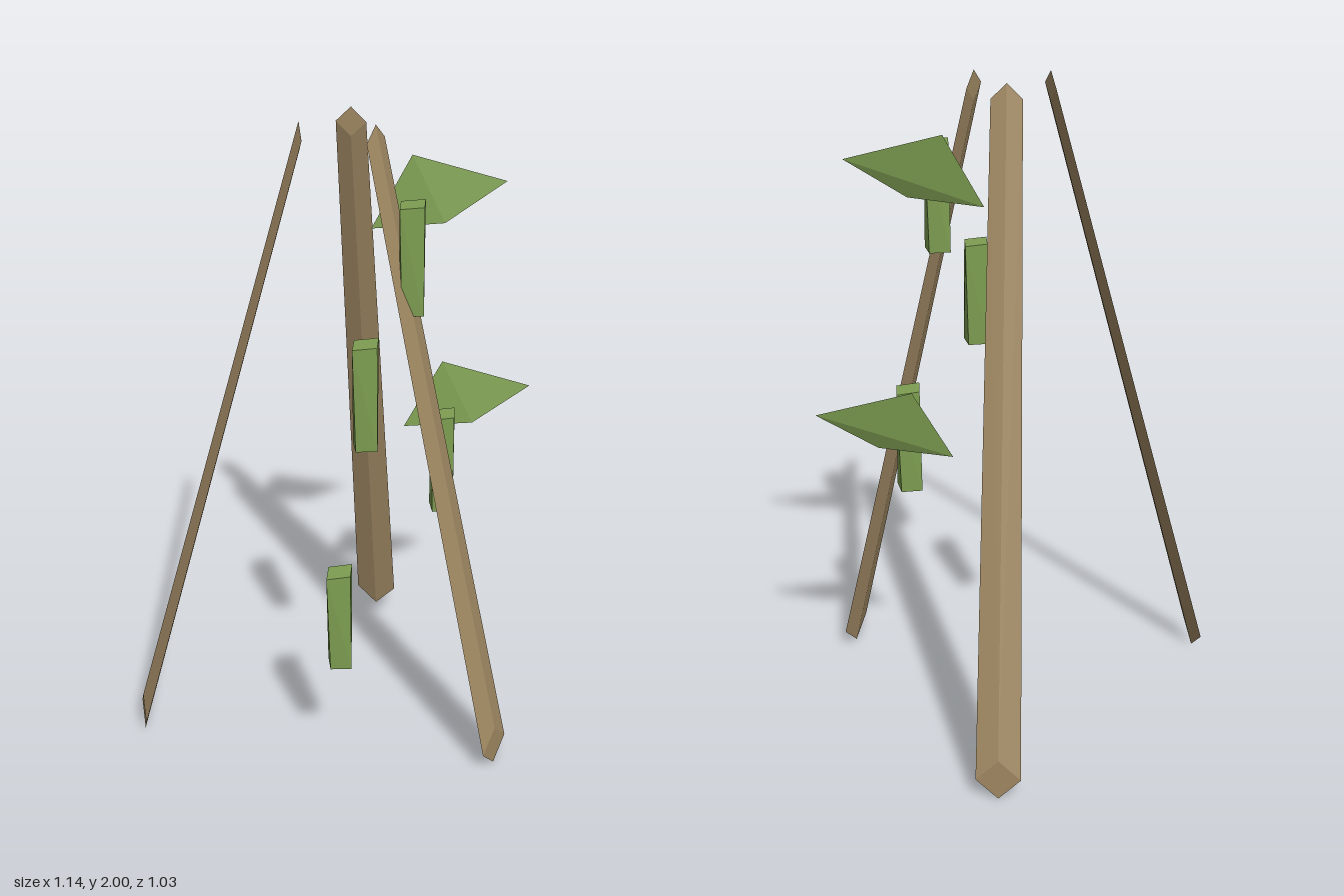
import * as THREE from 'three';
import { ConvexGeometry } from 'three/addons/geometries/ConvexGeometry.js';

const V = (x, y, z) => new THREE.Vector3(x, y, z);

// Four corners of a diamond: centre plus and minus two half axes
const diamond = (c, u, v) => [
  c.clone().add(u), c.clone().add(v), c.clone().sub(u), c.clone().sub(v),
];

export function createModel() {
  const group = new THREE.Group();
  const wood = new THREE.MeshStandardMaterial({ color: 0xa08963 });
  wood.name = 'wood';
  const green = new THREE.MeshStandardMaterial({ color: 0x7d9e51 });
  green.name = 'green';

  const add = (name, points, material) => {
    const mesh = new THREE.Mesh(new ConvexGeometry(points), material);
    mesh.name = name;
    group.add(mesh);
  };

  // Poles: tapered diamond bars with upright ends
  // [name, foot x, foot z, foot half axis x, z, tip x, tip z]
  const poles = [
    ['frontPole', 0.068, 0.505, 0.067, -0.008, 0.014, 0.05],
    ['backRightPole', -0.531, -0.4625, 0.04, -0.0525, -0.1, -0.135],
    ['backLeftPole', 0.534, -0.375, 0.034, 0.057, 0.103, -0.118],
  ];
  for (const [name, fx, fz, ux, uz, tx, tz] of poles) {
    const foot = diamond(V(fx, 0.066, fz), V(ux, 0, uz), V(0, 0.066, 0));
    const tip = diamond(V(tx, 1.956, tz), V(ux * 0.67, 0, uz * 0.67), V(0, 0.044, 0));
    add(name, [...foot, ...tip], wood);
  }

  // Hanging pods: upright diamond prisms, narrower at the bottom
  const pods = [[-0.27, 0.4], [-0.153, 1.098], [0.05, 1.457], [0.214, 0.74]];
  pods.forEach(([x, y], i) => {
    const bottom = diamond(V(x, y, 0.157), V(0.043, 0, 0), V(0, 0, 0.047));
    const top = diamond(V(x, y + 0.327, 0.157), V(0.058, 0, 0), V(0, 0, 0.043));
    add('pod' + (i + 1), [...bottom, ...top], green);
  });

  // Leaves: thin folded blades
  [[0, 0], [0.166, -0.715]].forEach(([dx, dy], i) => {
    const blade = [
      V(0.12, 1.642, -0.055), V(0.213, 1.86, 0.022),
      V(0.367, 1.792, 0.252), V(0.237, 1.67, 0.128),
    ];
    add('leaf' + (i + 1), blade.map((p) => p.add(V(dx, dy, 0))), green);
  });

  return group;
}
